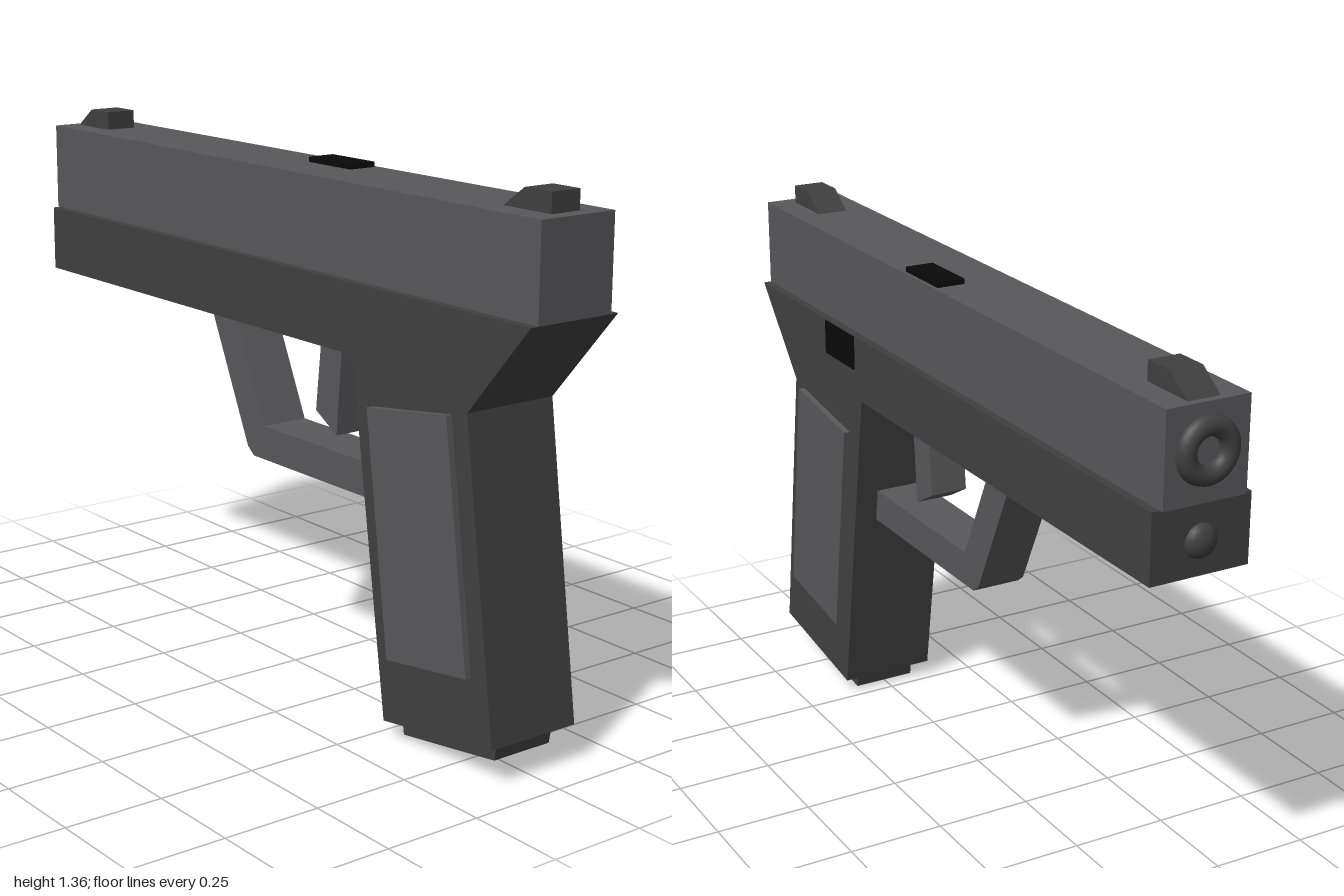
import * as THREE from 'three';

const material = (color) => new THREE.MeshStandardMaterial({ color, flatShading: true });

export function createModel() {
  const group = new THREE.Group();
  const steel = material(0x58585a);
  const polymer = material(0x404040);
  const black = material(0x0a0a0a);

  const add = (name, geometry, mat) => {
    const mesh = new THREE.Mesh(geometry, mat);
    mesh.name = name;
    group.add(mesh);
    return mesh;
  };

  // Side outline in x/y, extruded symmetrically to the given z width
  const plate = (name, outline, width, mat) => {
    const shape = new THREE.Shape(outline.map(([x, y]) => new THREE.Vector2(x, y)));
    const geometry = new THREE.ExtrudeGeometry(shape, { depth: width, bevelEnabled: false });
    geometry.translate(0, 0, -width / 2);
    return add(name, geometry, mat);
  };

  const box = (name, [w, h, d], [x, y, z], mat) =>
    add(name, new THREE.BoxGeometry(w, h, d), mat).position.set(x, y, z);

  // Slide and the frame with its raked grip
  box('slide', [1.975, 0.228, 0.215], [0.0125, 1.204, 0], steel);
  plate('frame', [
    [-0.965, 1.09], [-0.965, 0.918], [0.395, 0.918], [0.525, 0.042],
    [0.91, 0.098], [0.803, 0.863], [1, 1.09],
  ], 0.257, polymer);

  // Grip panels stand slightly proud on both sides
  plate('gripPanels', [[0.47, 0.81], [0.553, 0.21], [0.835, 0.25], [0.752, 0.85]], 0.29, steel);
  plate('magazineBase', [[0.538, 0.07], [0.55, 0.003], [0.872, 0.05], [0.885, 0.12]], 0.17, polymer);

  // Trigger and its guard
  plate('triggerGuard', [
    [-0.28, 0.92], [-0.118, 0.572], [-0.092, 0.552], [0.452, 0.552],
    [0.44, 0.64], [-0.047, 0.64], [-0.178, 0.92],
  ], 0.13, steel);
  plate('trigger', [[0.175, 0.93], [0.152, 0.722], [0.235, 0.675], [0.257, 0.93]], 0.1, steel);

  // Sights share one ramped outline
  for (const [name, x] of [['frontSight', -0.96], ['rearSight', 0.805]]) {
    plate(name, [[x, 1.315], [x + 0.155, 1.315], [x + 0.155, 1.366], [x + 0.07, 1.366]], 0.083, polymer);
  }

  // Dark inserts on the top and right-hand side
  box('ejectionPort', [0.165, 0.03, 0.075], [0.108, 1.316, -0.06], black);
  box('slideCatch', [0.165, 0.09, 0.02], [0.513, 1.043, -0.123], black);

  // Muzzle ring with recessed bore, and guide rod tip
  const ring = add('muzzleRing', new THREE.TorusGeometry(0.056, 0.025, 12, 32), polymer);
  ring.position.set(-0.975, 1.21, 0);
  ring.rotation.y = Math.PI / 2;
  const tip = add('guideRodTip', new THREE.SphereGeometry(0.042, 20, 12), polymer);
  tip.position.set(-0.962, 1, 0);
  tip.scale.x = 0.65;
  for (const part of [ring, tip]) {
    part.material = new THREE.MeshStandardMaterial({ color: 0x404040 });
  }

  return group;
}
